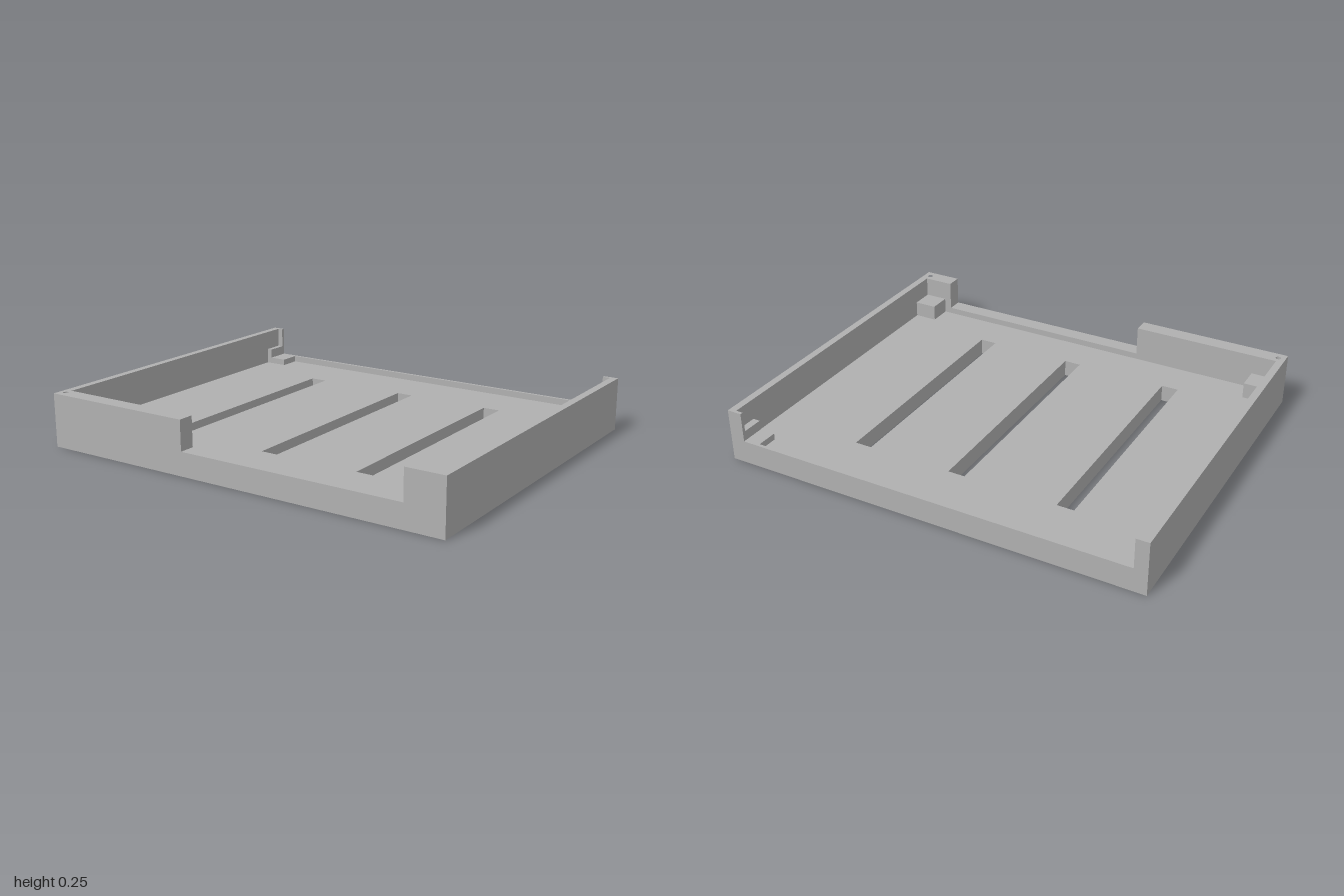
import * as THREE from 'three';

const FLOOR = 0.08, LOW = 0.11, TOP = 0.25, BLOCK = 0.155;
const X = 1, Z = 0.825;              // outer half sizes
const IX = 0.965, BACK = -0.81, FRONT = 0.75; // inner wall faces

const rect = (x0, x1, z0, z1) => [[x0, z0], [x1, z0], [x1, z1], [x0, z1]];
const toPoints = (pts) => pts.map(([x, z]) => new THREE.Vector2(x, z));

export function createModel() {
  const group = new THREE.Group();
  const grey = new THREE.MeshStandardMaterial({ color: 0xb0b0b0 });
  grey.name = 'plain grey';

  // Raises a plan outline (x, z) from y0 to y1
  function slab(name, outline, y0, y1, holes = []) {
    const shape = new THREE.Shape(toPoints(outline));
    shape.holes.push(...holes);
    const geo = new THREE.ExtrudeGeometry(shape, { depth: y1 - y0, bevelEnabled: false, curveSegments: 12 });
    geo.rotateX(Math.PI / 2).translate(0, y1, 0);
    const mesh = new THREE.Mesh(geo, grey);
    mesh.name = name;
    group.add(mesh);
  }
  const rectHole = (...r) => new THREE.Path(toPoints(rect(...r)));
  const roundHole = (x, z, r) => new THREE.Path().absarc(x, z, r, 0, Math.PI * 2, true);

  // Floor with three long slots
  const slots = [-0.52, 0, 0.48].map((x) => rectHole(x - 0.04, x + 0.04, -0.56, 0.56));
  slab('floor', rect(-X, X, -Z, Z), 0, FLOOR, slots);

  // Low rim running all the way round
  const screwHoles = [-1, 1].map((s) => roundHole(s * 0.965, 0.785, 0.013));
  slab('lowerRim', rect(-X, X, -Z, Z), FLOOR, LOW, [rectHole(-IX, IX, BACK, FRONT), ...screwHoles]);

  // Tall side walls, with back posts and front returns of differing width
  for (const [name, s, post, ret] of [['rightWall', -1, 0.94, 0.26], ['leftWall', 1, 0.93, 0.82]]) {
    const outline = [[X, -Z], [post, -Z], [post, BACK], [IX, BACK],
      [IX, FRONT], [ret, FRONT], [ret, Z], [X, Z]].map(([x, z]) => [s * x, z]);
    slab(name, outline, LOW, TOP, [roundHole(s * 0.965, 0.785, 0.013)]);

    // Corner support blocks; the back one is notched by the rear opening
    const block = (part, xa, xb, z0, z1, y1) =>
      slab(part, rect(Math.min(s * xa, s * xb), Math.max(s * xa, s * xb), z0, z1), FLOOR, y1);
    block('frontCornerBlock', 0.855, IX, 0.64, FRONT, BLOCK);
    block('backCornerBlock', 0.855, post, BACK, -0.71, LOW);
    block('backCornerStep', post, IX, BACK, -0.71, BLOCK);
  }
  return group;
}
